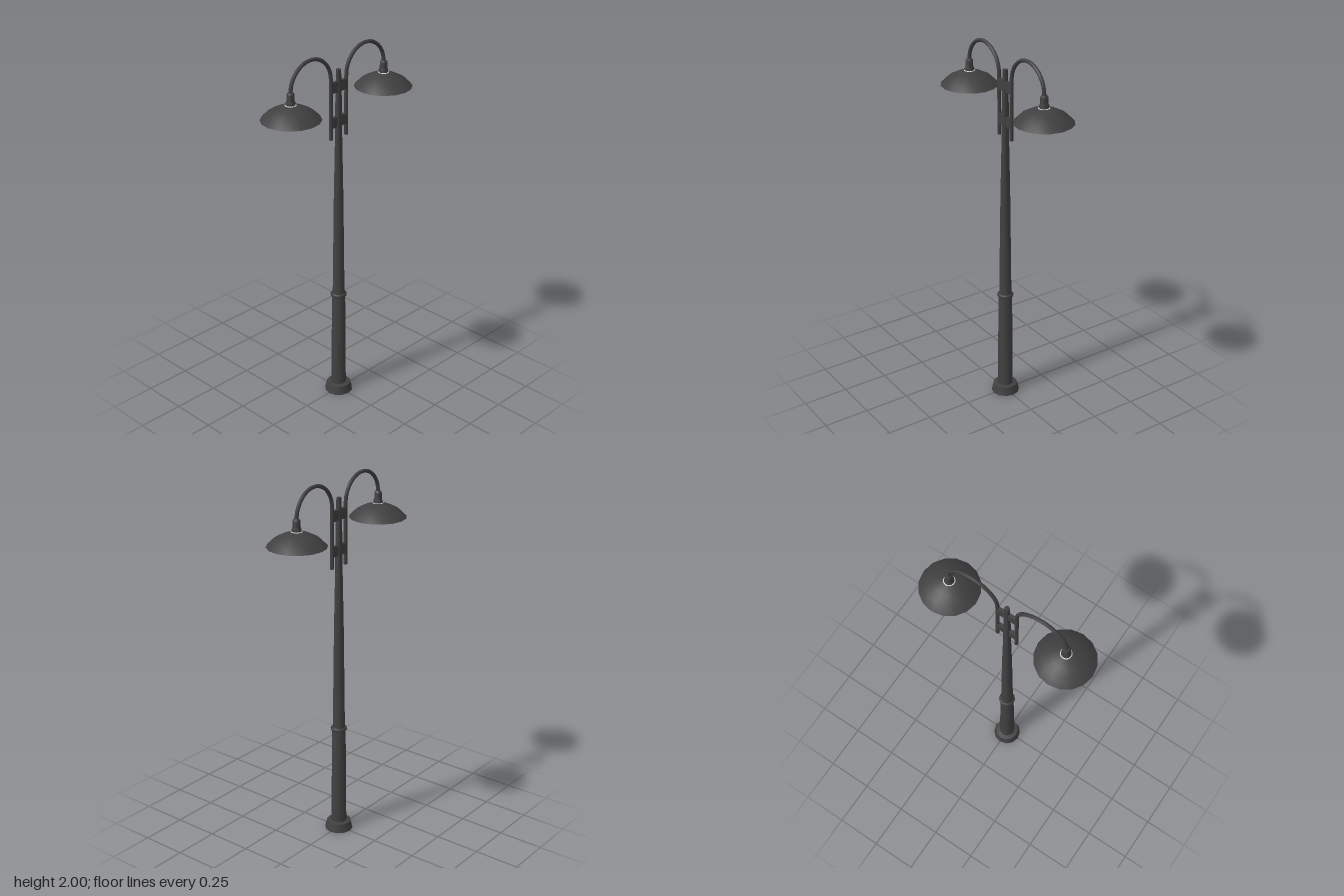
import * as THREE from 'three';
import { toCreasedNormals } from 'three/addons/utils/BufferGeometryUtils.js';

const iron = new THREE.MeshStandardMaterial({ color: 0x404040 });
const ironThin = new THREE.MeshStandardMaterial({ color: 0x404040, side: THREE.DoubleSide });
const glass = new THREE.MeshStandardMaterial({ color: 0xcccccc });

function add(parent, name, geometry, material = iron) {
  const mesh = new THREE.Mesh(geometry, material);
  mesh.name = name;
  parent.add(mesh);
  return mesh;
}

// Turned part from [radius, height] pairs listed bottom to top
function turned(profile, sides, crease = 0.6) {
  const points = profile.map(([r, y]) => new THREE.Vector2(r, y));
  return toCreasedNormals(new THREE.LatheGeometry(points, sides), crease);
}

// One arm with its lamp, reaching toward +z
function createLampArm() {
  const arm = new THREE.Group();
  const armZ = 0.055, lampZ = 0.331, springY = 1.852;
  const radius = (lampZ - armZ) / 2;

  // Straight upright that bends over in a half circle
  const path = [1.53, 1.6, 1.7, 1.8].map(y => new THREE.Vector3(0, y, armZ));
  for (let i = 0; i <= 12; i++) {
    const a = Math.PI * (1 - i / 12);
    path.push(new THREE.Vector3(0, springY + radius * Math.sin(a), armZ + radius + radius * Math.cos(a)));
  }
  add(arm, 'curvedArm', new THREE.TubeGeometry(new THREE.CatmullRomCurve3(path), 48, 0.01, 8));
  const cap = add(arm, 'armEndCap', new THREE.CircleGeometry(0.01, 8));
  cap.rotation.x = Math.PI / 2;
  cap.position.set(0, 1.53, armZ);

  // Brackets that tie the arm to the pole
  for (const y of [1.807, 1.62]) {
    const bracket = add(arm, 'bracket', new THREE.BoxGeometry(0.018, 0.056, 0.05));
    bracket.position.set(0, y, 0.03);
  }

  // Socket, shade and bulb
  const lamp = new THREE.Group();
  lamp.name = 'lamp';
  lamp.position.z = lampZ;
  add(lamp, 'socket', turned([[0.026, 1.775], [0.025, 1.805], [0.02, 1.82], [0.02, 1.85], [0.014, 1.86], [0, 1.86]], 12));
  add(lamp, 'shade', turned([[0.153, 1.72], [0.115, 1.757], [0.07, 1.78], [0.03, 1.795], [0, 1.797]], 16, 0.42), ironThin);
  const bulb = add(lamp, 'bulb', new THREE.SphereGeometry(0.06, 16, 12), glass);
  bulb.position.y = 1.743;
  arm.add(lamp);
  return arm;
}

export function createModel() {
  const model = new THREE.Group();
  model.name = 'streetLamp';

  // Flared foot, tapering pole and collar
  add(model, 'foot', turned([[0, 0], [0.077, 0], [0.066, 0.046], [0.04, 0.05]], 12));
  add(model, 'pole', turned([
    [0.042, 0.045], [0.037, 0.61], [0.033, 0.63], [0.026, 1.19],
    [0.019, 1.54], [0.018, 1.69], [0.013, 1.895], [0, 1.895],
  ], 12));
  add(model, 'collar', turned([[0.036, 0.601], [0.043, 0.604], [0.045, 0.611], [0.043, 0.618], [0.034, 0.622]], 12, 0.9));

  // Matching arms front and back
  for (const [name, angle] of [['frontArm', 0], ['backArm', Math.PI]]) {
    const arm = createLampArm();
    arm.name = name;
    arm.rotation.y = angle;
    model.add(arm);
  }
  return model;
}
